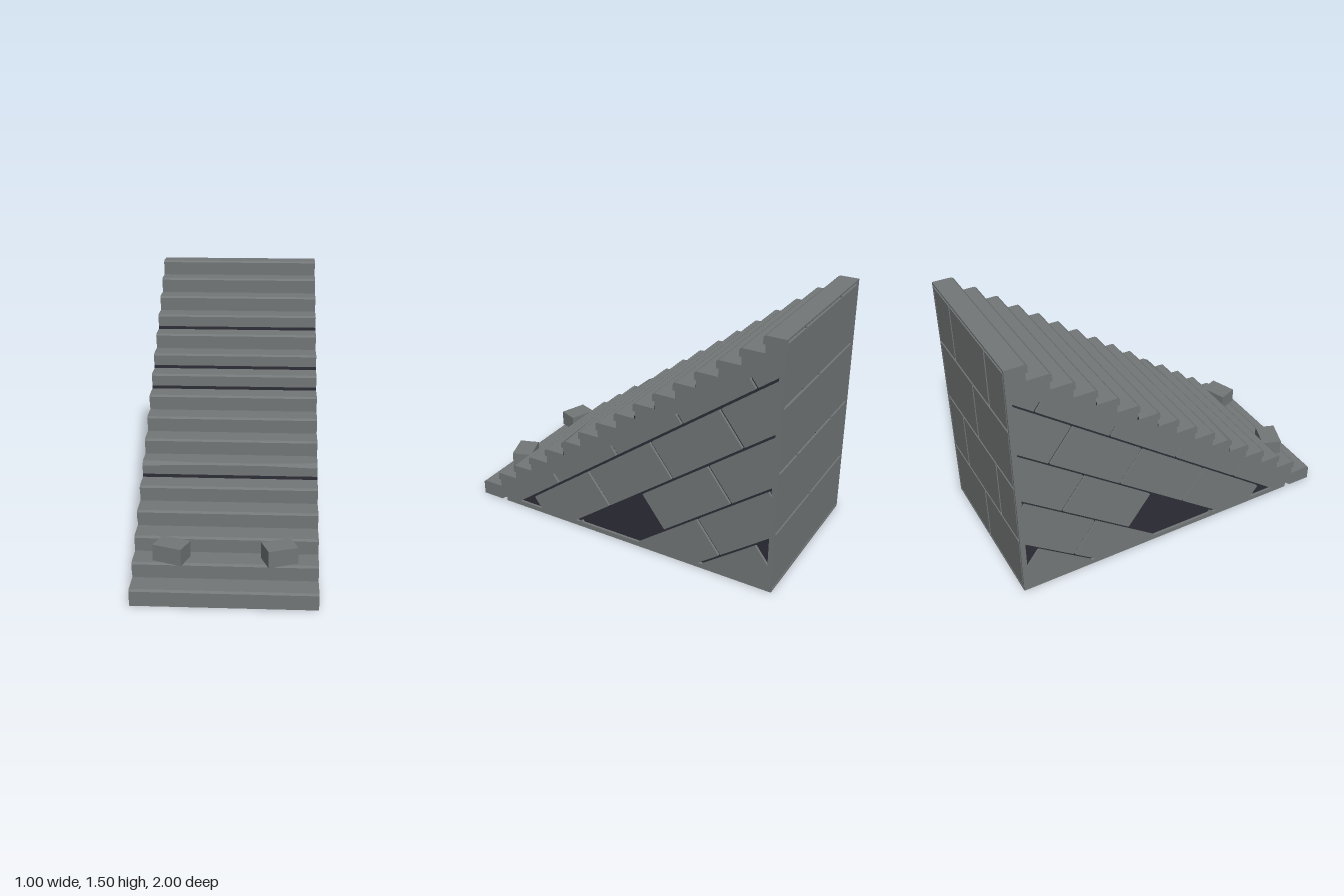
import * as THREE from 'three';

const STEPS = 16, RISE = 1.5 / STEPS, RUN = 2 / STEPS;
const SLOPE_TOP = 0.516; // upper edge of the brick panel, measured across the slope
const GAP = 0.008;

// Extrudes a [z, y] outline along x between x0 and x1
function slab(points, x0, x1, steps = 1) {
  const shape = new THREE.Shape(points.map(([z, y]) => new THREE.Vector2(z, y)));
  const geo = new THREE.ExtrudeGeometry(shape, { depth: x1 - x0, bevelEnabled: false, steps });
  return geo.rotateY(-Math.PI / 2).translate(x1, 0, 0);
}

// Keeps the part of a polygon where a*z + b*y <= c
function clip(poly, a, b, c) {
  const out = [];
  poly.forEach((p, i) => {
    const q = poly[(i + 1) % poly.length];
    const dp = a * p[0] + b * p[1] - c, dq = a * q[0] + b * q[1] - c;
    if (dp <= 0) out.push(p);
    if (dp * dq < 0) {
      const t = dp / (dp - dq);
      out.push([p[0] + (q[0] - p[0]) * t, p[1] + (q[1] - p[1]) * t]);
    }
  });
  return out;
}

// Position along (u) and across (v) the slope to [z, y]
const onSlope = (u, v) => [-0.8 * u + 0.6 * v, 0.6 * u + 0.8 * v];

export function createModel() {
  const model = new THREE.Group();
  const stone = new THREE.MeshStandardMaterial({ color: 0x737777 });
  stone.name = 'grey stone';
  const mortar = new THREE.MeshStandardMaterial({ color: 0x2e2e38 });
  mortar.name = 'dark mortar';

  function add(name, geo, mat, parent = model) {
    const mesh = new THREE.Mesh(geo, mat);
    mesh.name = name;
    parent.add(mesh);
    return mesh;
  }
  function box(name, x0, x1, y0, y1, z0, z1, mat, parent) {
    const geo = new THREE.BoxGeometry(x1 - x0, y1 - y0, z1 - z0);
    geo.translate((x0 + x1) / 2, (y0 + y1) / 2, (z0 + z1) / 2);
    return add(name, geo, mat, parent);
  }

  // Flight of steps with overhanging, bevelled nosings
  const profile = [];
  for (let i = 0; i < STEPS; i++) {
    const front = 1 - i * RUN, top = (i + 1) * RISE;
    if (i === 0) profile.push([front, 0]);
    else profile.push([front - 0.014, i * RISE], [front - 0.014, top - 0.048], [front, top - 0.048]);
    profile.push([front, top - 0.01], [front - 0.012, top]);
  }
  profile.push([-1, 1.5], [-1, 1.488], [-0.985, 1.488], [-0.985, (SLOPE_TOP + 0.591) / 0.8], [SLOPE_TOP / 0.6, 0]);
  const flight = slab(profile, -0.5, 0.5, 10);

  // One nosing is worn away towards both ends
  const pos = flight.attributes.position, wornZ = 1 - 5 * RUN, wornY = 6 * RISE;
  for (let i = 0; i < pos.count; i++) {
    const y = pos.getY(i), z = pos.getZ(i);
    const wear = Math.max(0, (Math.abs(pos.getX(i)) - 0.2) / 0.3);
    if (Math.abs(z - wornZ + 0.012) < 0.001 && Math.abs(y - wornY) < 0.001) pos.setZ(i, z - 0.022 * wear);
    if (Math.abs(z - wornZ) < 0.001 && Math.abs(y - wornY + 0.01) < 0.001) pos.setY(i, y - 0.01 * wear);
  }
  flight.computeVertexNormals();
  add('steps', flight, stone);

  // Dark open joints at the foot of some risers
  for (const i of [5, 9, 10, 12]) {
    const z = 1 - i * RUN - 0.014;
    box('riserJoint', -0.5, 0.5, i * RISE, i * RISE + 0.018, z - 0.003, z + 0.004, mortar);
  }

  // Mortar core, seen in the joints and where bricks are missing
  add('mortarCore', slab([[0.84, 0.01], [-0.985, 0.01], [-0.985, 1.37]], -0.485, 0.485), mortar);
  box('backMortar', -0.488, 0.488, 0.01, 1.49, -0.988, -0.98, mortar);
  box('basePlate', -0.5, 0.5, 0, 0.03, -0.985, 0.82, stone);
  box('backBaseRim', -0.5, 0.5, 0, 0.012, -1, -0.985, stone);

  // Sloping brick courses on both sides
  const courses = [SLOPE_TOP + GAP, 0.444, 0.192, -0.06, -0.312, -0.564];
  const missing = ['1,-2', '2,-1', '4,1'];
  for (const side of [-1, 1]) {
    const wall = new THREE.Group();
    wall.name = side > 0 ? 'leftWall' : 'rightWall';
    model.add(wall);
    const x0 = side > 0 ? 0.48 : -0.5, x1 = x0 + 0.02;
    for (let row = 0; row < 5; row++) {
      for (let k = -3; k < 4; k++) {
        if (missing.includes(`${row},${k}`)) continue;
        const start = (row % 2 ? 0.0975 : 0.36) + 0.525 * k;
        const u0 = start + GAP, u1 = start + 0.525 - GAP;
        const v0 = courses[row + 1] + GAP, v1 = courses[row] - GAP;
        let poly = [onSlope(u0, v0), onSlope(u1, v0), onSlope(u1, v1), onSlope(u0, v1)];
        poly = clip(poly, 0, -1, -0.03);
        poly = clip(poly, -1, 0, 0.97);
        if (poly.length > 2) add('sideBrick', slab(poly, x0, x1), stone, wall);
      }
    }
    // Corner post closing the wall at the back
    const edge = side > 0 ? 0.485 : -0.5;
    box('cornerPost', edge, edge + 0.015, 0, 1.38, -0.986, -0.97, stone, wall);
    const rim = side > 0 ? 0.488 : -0.5;
    box('backRim', rim, rim + 0.012, 0, 1.49, -1, -0.984, stone, wall);
  }

  // Back wall: four courses with staggered joints
  const backWall = new THREE.Group();
  backWall.name = 'backWall';
  model.add(backWall);
  for (let row = 0; row < 4; row++) {
    const joints = row % 2 ? [-0.488, -0.245, 0.245, 0.488] : [-0.488, 0, 0.488];
    const y0 = row === 0 ? 0.012 : row * 0.375, y1 = row === 3 ? 1.482 : (row + 1) * 0.375;
    for (let j = 0; j < joints.length - 1; j++) {
      box('backBrick', joints[j] + GAP, joints[j + 1] - GAP, y0 + GAP, y1 - GAP, -1, -0.982, stone, backWall);
    }
  }

  // Two loose blocks resting on the second step
  for (const side of [-1, 1]) {
    const block = add('looseBlock', new THREE.BoxGeometry(0.168, 0.094, 0.12), stone);
    block.position.set(side * 0.29, 0.234, 0.815);
    block.rotation.y = side * 0.35;
  }
  return model;
}
